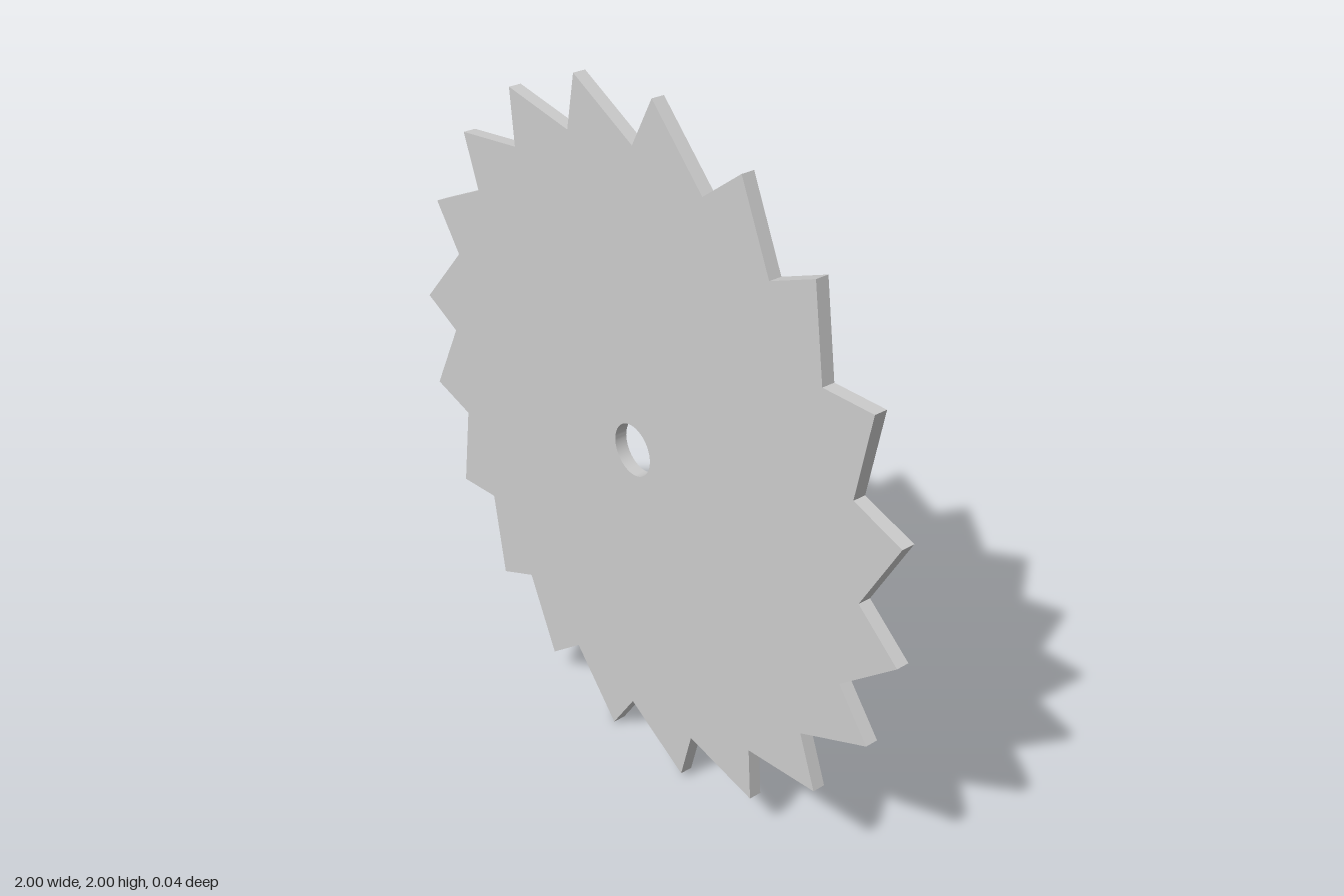
import * as THREE from 'three';
import { toCreasedNormals } from 'three/addons/utils/BufferGeometryUtils.js';

const TIP_RADIUS = 1.003;
const ROOT_RADIUS = 0.86;
const BORE_RADIUS = 0.075;
const THICKNESS = 0.037;

// Hand-cut teeth: how far each tip leans past its root, in degrees clockwise
const TIP_LEAN = [
  4.3, 5.5, 4.8, 5.3, 5.4, 6.1, 5.0, 5.0, 4.8, 5.0,
  5.2, 5.1, 4.4, 4.5, 4.9, 3.5, 5.4, 5.1, 4.6, 4.4,
];

// Point at a clockwise angle from straight up
function polar(radius, degrees) {
  const a = THREE.MathUtils.degToRad(degrees);
  return new THREE.Vector2(radius * Math.sin(a), radius * Math.cos(a));
}

export function createModel() {
  const group = new THREE.Group();
  group.name = 'circularSawBlade';

  // Toothed outline: a root followed by its leaning tip, all the way round
  const pitch = 360 / TIP_LEAN.length;
  const outline = TIP_LEAN.flatMap((lean, i) => [
    polar(ROOT_RADIUS, i * pitch),
    polar(TIP_RADIUS, i * pitch + lean),
  ]);
  const shape = new THREE.Shape(outline);

  // Round arbor hole through the centre
  const bore = new THREE.Path();
  bore.absarc(0, 0, BORE_RADIUS, 0, Math.PI * 2);
  shape.holes.push(bore);

  // Flat plate, smooth inside the bore and sharp everywhere else
  const plate = new THREE.ExtrudeGeometry(shape, {
    depth: THICKNESS,
    bevelEnabled: false,
    curveSegments: 32,
  });
  plate.translate(0, 1, -THICKNESS / 2);

  const blade = new THREE.Mesh(
    toCreasedNormals(plate, 0.5),
    new THREE.MeshStandardMaterial({ color: 0xcccccc })
  );
  blade.name = 'toothedBlade';
  group.add(blade);

  return group;
}
